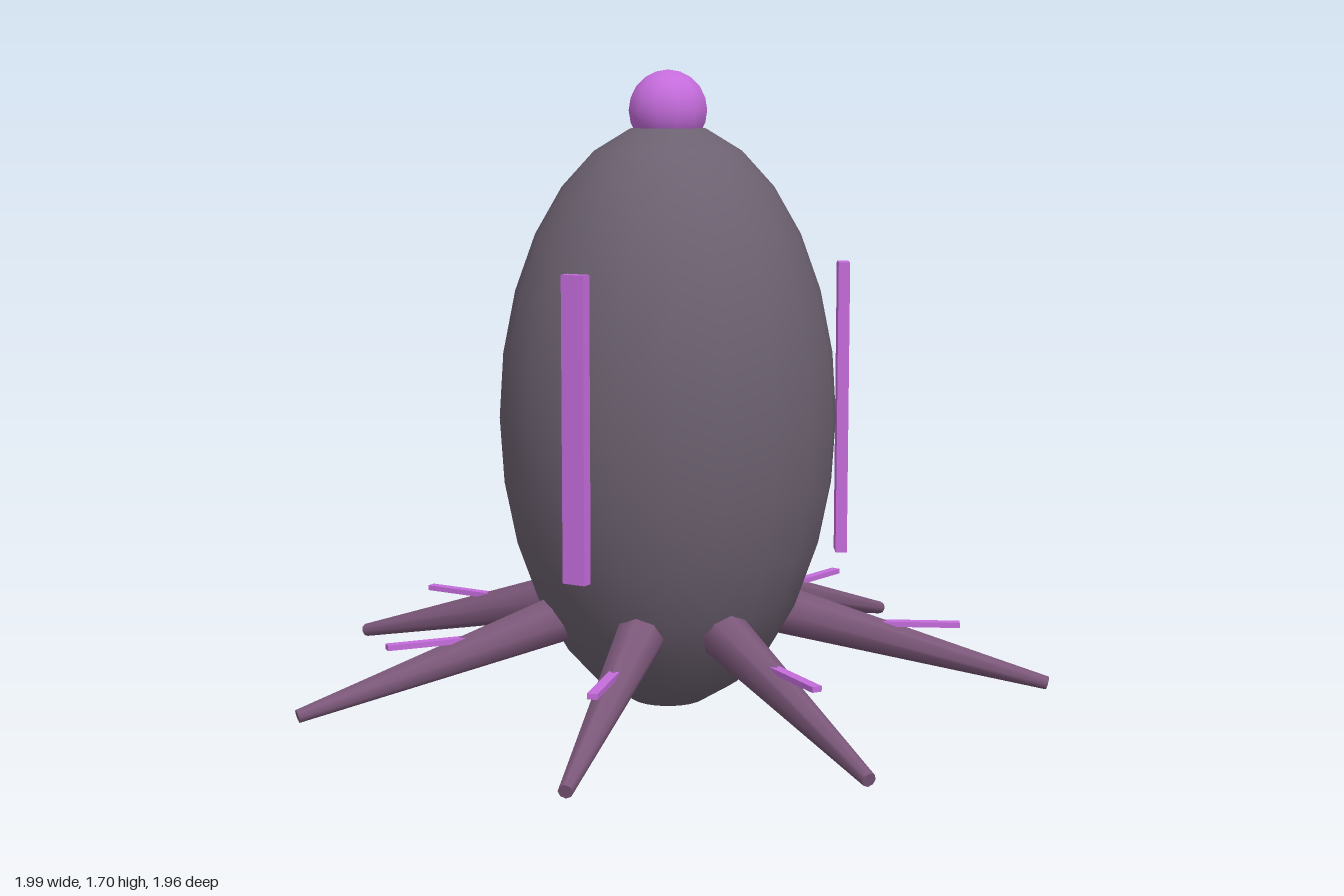
import * as THREE from 'three';

const mat = (name, color) => {
  const m = new THREE.MeshStandardMaterial({ color });
  m.name = name;
  return m;
};

export function createModel() {
  const bodyMat = mat('smoky grey', 0x6c6170);
  const legMat = mat('dusky plum', 0x7c587a);
  const glowMat = mat('bright violet', 0xc56cdc);

  const model = new THREE.Group();
  model.name = 'spiderPod';
  const hub = new THREE.Group();
  hub.name = 'hub';
  hub.position.z = -0.04;
  model.add(hub);

  const add = (parent, name, geometry, material, x = 0, y = 0, z = 0) => {
    const mesh = new THREE.Mesh(geometry, material);
    mesh.name = name;
    mesh.position.set(x, y, z);
    parent.add(mesh);
    return mesh;
  };
  // Group whose local +x points outward at the given angle, measured from +x towards +z
  const spoke = (name, degrees) => {
    const g = new THREE.Group();
    g.name = name;
    g.rotation.y = -THREE.MathUtils.degToRad(degrees);
    hub.add(g);
    return g;
  };

  // Egg-shaped body and the ball on top
  const egg = new THREE.SphereGeometry(0.447, 20, 14).scale(1, 1.75, 1);
  add(hub, 'body', egg, bodyMat, 0, 0.785, 0);
  add(hub, 'topBall', new THREE.SphereGeometry(0.105, 12, 10), glowMat, 0, 1.595, 0);

  // Tapered legs sloping down to the ground, each with a flat violet strip
  const base = new THREE.Vector3(0.3, 0.27, 0);
  const tip = new THREE.Vector3(1.015, 0.079, 0);
  const axis = tip.clone().sub(base);
  const legGeo = new THREE.CylinderGeometry(0.018, 0.066, axis.length(), 8);
  const stripGeo = new THREE.BoxGeometry(0.35, 0.014, 0.026);
  const up = new THREE.Vector3(0, 1, 0);
  [-13, 45.8, 86.1, 140.2, 192.4, 230.6, 292.5].forEach((angle, i) => {
    const g = spoke('legGroup' + (i + 1), angle);
    const mid = base.clone().lerp(tip, 0.5);
    const leg = add(g, 'leg', legGeo, legMat, mid.x, mid.y, 0);
    leg.quaternion.setFromUnitVectors(up, axis.clone().normalize());
    add(g, 'legStrip', stripGeo, glowMat, 0.605, 0.235, 0);
  });

  // Three upright bars around the body
  const barGeo = new THREE.BoxGeometry(0.03, 0.775, 0.064);
  for (let i = 0; i < 3; i++) {
    const g = spoke('barGroup' + (i + 1), 102.5 + i * 120);
    add(g, 'sideBar', barGeo, glowMat, 0.462, 0.812, 0);
  }
  return model;
}
